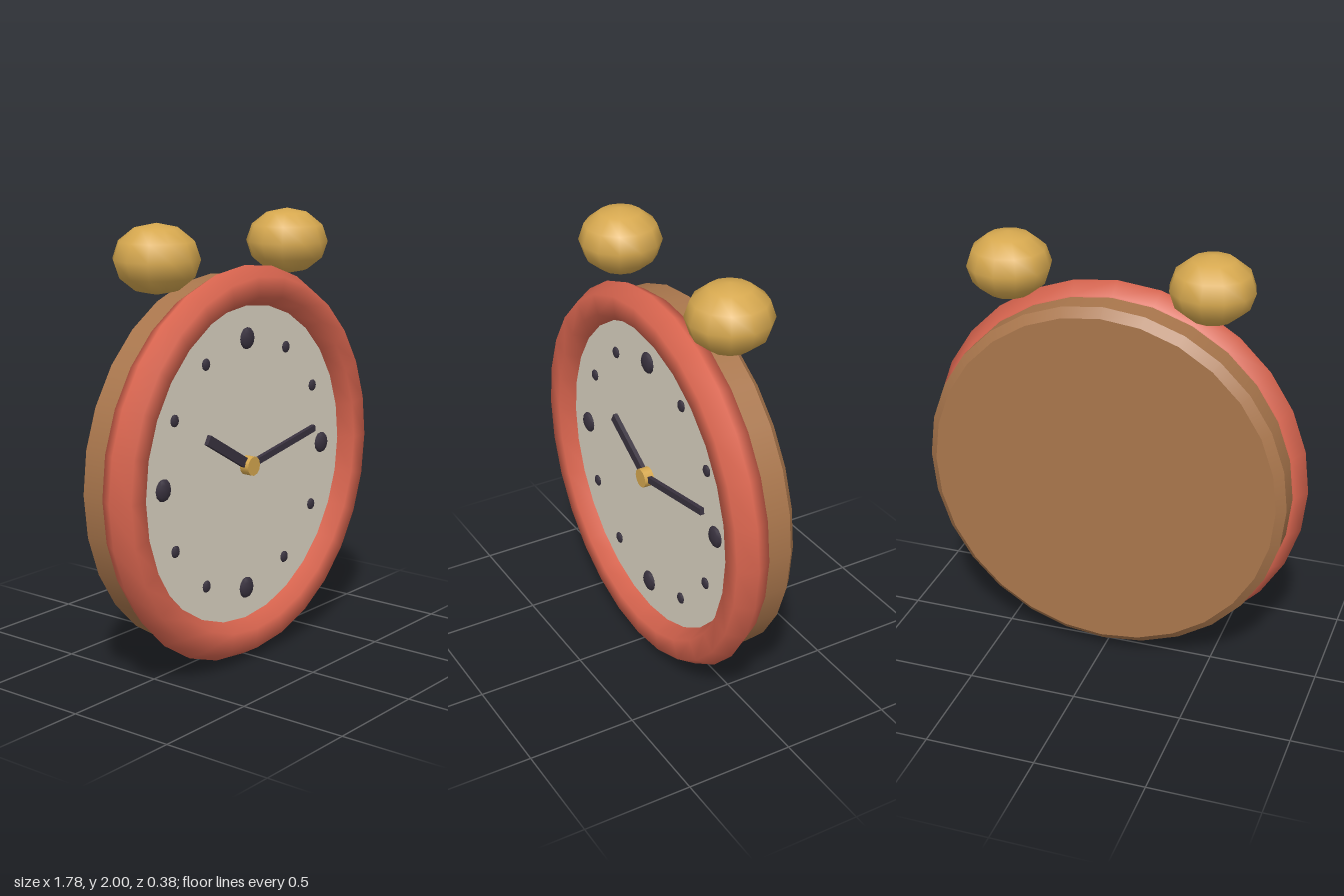
import * as THREE from 'three';

const CY = 0.897; // height of the clock centre
const SIDES = 28;

export function createModel() {
  const paint = (name, color) => {
    const m = new THREE.MeshStandardMaterial({ color });
    m.name = name;
    return m;
  };
  const red = paint('red', 0xd9654f);
  const brown = paint('brown', 0xa9764c);
  const cream = paint('cream', 0xdcd4c3);
  const gold = paint('gold', 0xd6a84f);
  const dark = paint('dark', 0x39323f);

  const clock = new THREE.Group();
  clock.name = 'alarmClock';
  const add = (name, geometry, material, x, y, z) => {
    const mesh = new THREE.Mesh(geometry, material);
    mesh.name = name;
    mesh.position.set(x, y, z);
    clock.add(mesh);
    return mesh;
  };
  // Round drum along z, from its back to its front
  const drum = (name, rBack, rFront, back, front, material, sides = SIDES) =>
    add(name, new THREE.CylinderGeometry(rFront, rBack, front - back, sides).rotateX(Math.PI / 2),
      material, 0, CY, (back + front) / 2);

  // Case with a bevelled back
  drum('caseBody', 0.84, 0.84, -0.08, 0.1, brown);
  drum('caseBackBevel', 0.8, 0.84, -0.117, -0.08, brown);

  // Hexagonal-section rim and the dial inside it
  add('rim', new THREE.TorusGeometry(0.801, 0.091, 6, SIDES), red, 0, CY, 0.11);
  drum('dial', 0.74, 0.74, 0.1, 0.12, cream);

  // Hour markers, larger at the quarters
  for (let i = 0; i < 12; i++) {
    const a = i * Math.PI / 6;
    const r = i % 3 ? 0.027 : 0.049;
    add('hourMarker', new THREE.SphereGeometry(r, 8, 6).scale(1, 1, 0.4), dark,
      Math.sin(a) * 0.572, CY + Math.cos(a) * 0.572, 0.125);
  }

  // Hands, turned clockwise from twelve
  const hand = (name, width, length, degrees, z) => {
    const geometry = new THREE.BoxGeometry(width, length, 0.02).translate(0, length / 2, 0);
    add(name, geometry, dark, 0, CY, z).rotation.z = -degrees * Math.PI / 180;
  };
  hand('hourHand', 0.045, 0.337, -60, 0.138);
  hand('minuteHand', 0.03, 0.497, 80, 0.141);
  drum('handHub', 0.044, 0.044, 0.12, 0.166, gold, 12);

  // Pair of squashed bells
  for (const side of [-1, 1]) {
    add(side > 0 ? 'leftBell' : 'rightBell',
      new THREE.SphereGeometry(0.188, 12, 6).scale(1, 0.798, 1), gold, side * 0.457, 1.85, 0);
  }
  return clock;
}
